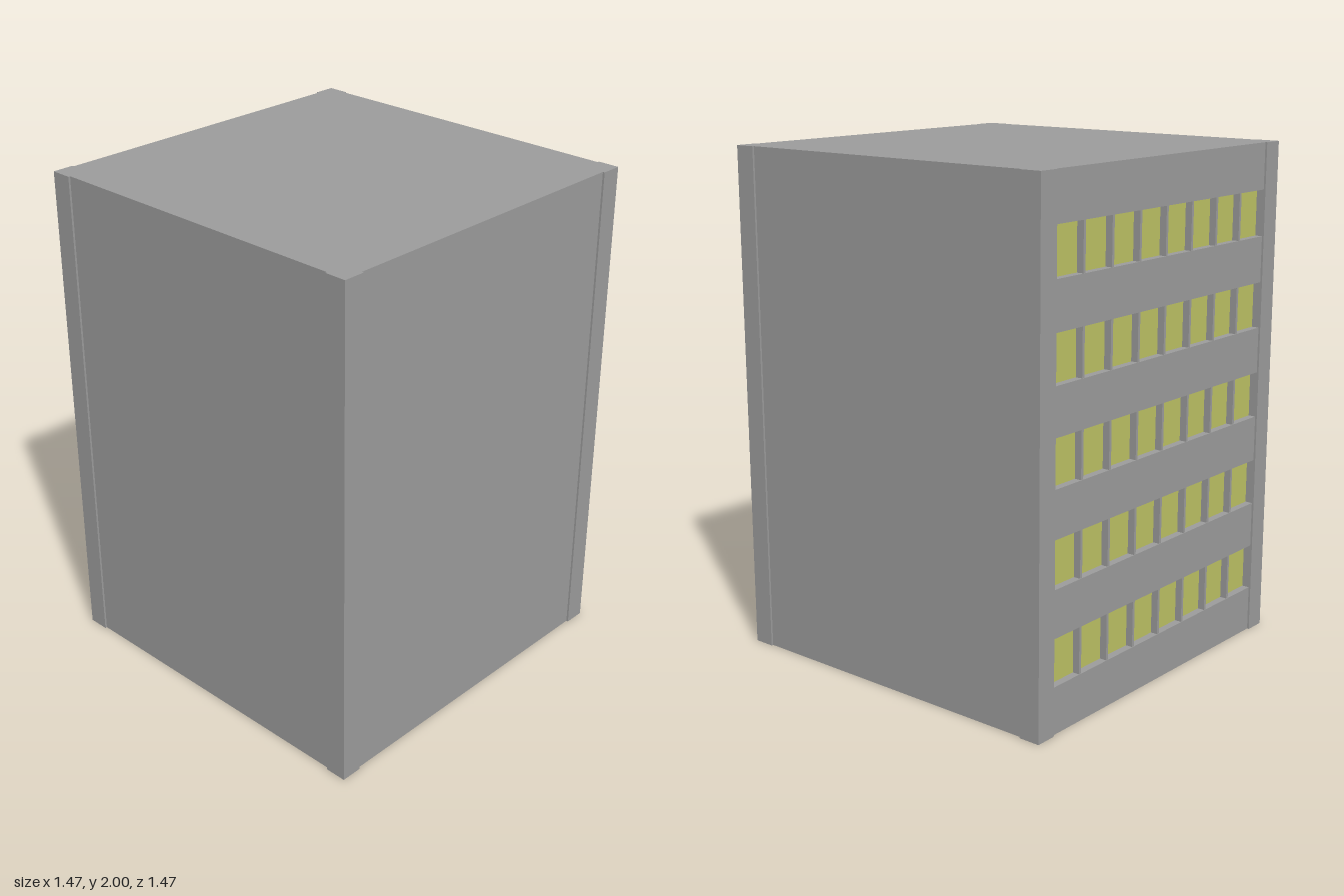
import * as THREE from 'three';

const HEIGHT = 2, HALF = 0.728;            // main walls
const POST_OUT = 0.736, POST_IN = 0.65;    // corner posts
const STOREY = HEIGHT / 11;                // wall bands and window rows alternate
const RECESS = 0.03, WINDOWS = 8, MULLION = 0.012;

export function createModel() {
  const concrete = new THREE.MeshStandardMaterial({ color: 0x9c9c9c, side: THREE.DoubleSide });
  concrete.name = 'concreteGrey';
  const glass = new THREE.MeshStandardMaterial({ color: 0xbdc264 });
  glass.name = 'windowYellow';

  const model = new THREE.Group();
  model.name = 'officeBlock';

  const add = (parent, name, geometry, material, x, y, z) => {
    const mesh = new THREE.Mesh(geometry, material);
    mesh.name = name;
    mesh.position.set(x, y, z);
    parent.add(mesh);
    return mesh;
  };

  // Box with some sides left out (0 +x, 1 -x, 2 top, 3 bottom, 4 front, 5 back)
  const openBox = (w, h, d, missing) => {
    const g = new THREE.BoxGeometry(w, h, d);
    const index = Array.from(g.index.array);
    g.setIndex(index.filter((_, i) => !missing.includes(Math.floor(i / 6))));
    g.clearGroups();
    return g;
  };

  // Plain side walls, front wall and roof, open underneath
  add(model, 'wallsAndRoof', openBox(2 * HALF, HEIGHT, 2 * HALF, [3, 5]), concrete, 0, HEIGHT / 2, 0);

  // Raised ground floor inside the shell
  const floor = add(model, 'floor', new THREE.PlaneGeometry(2 * HALF, 2 * HALF), concrete, 0, STOREY, 0);
  floor.rotation.x = Math.PI / 2;

  // Hollow corner posts
  const postSize = POST_OUT - POST_IN, postMid = (POST_OUT + POST_IN) / 2;
  const postGeometry = openBox(postSize, HEIGHT, postSize, [3]);
  for (const sx of [-1, 1]) {
    for (const sz of [-1, 1]) {
      add(model, 'cornerPost', postGeometry, concrete, sx * postMid, HEIGHT / 2, sz * postMid);
    }
  }

  // Back facade: six wall bands with five recessed window rows between
  const facade = new THREE.Group();
  facade.name = 'backFacade';
  model.add(facade);
  const bandGeometry = new THREE.BoxGeometry(2 * POST_IN, STOREY, RECESS);
  const pitch = 2 * POST_IN / WINDOWS;
  const paneGeometry = new THREE.BoxGeometry(pitch, STOREY, 0.006);
  const mullionGeometry = new THREE.BoxGeometry(MULLION, STOREY, RECESS - 0.002);
  const bandZ = -HALF + RECESS / 2;

  for (let i = 0; i < 11; i++) {
    const y = (i + 0.5) * STOREY;
    if (i % 2 === 0) {
      add(facade, 'wallBand', bandGeometry, concrete, 0, y, bandZ);
      continue;
    }
    for (let j = 0; j < WINDOWS; j++) {
      const x = -POST_IN + (j + 0.5) * pitch;
      add(facade, 'windowPane', paneGeometry, glass, x, y, -HALF + RECESS + 0.003);
      if (j > 0) add(facade, 'mullion', mullionGeometry, concrete, x - pitch / 2, y, bandZ + 0.001);
    }
  }

  return model;
}
